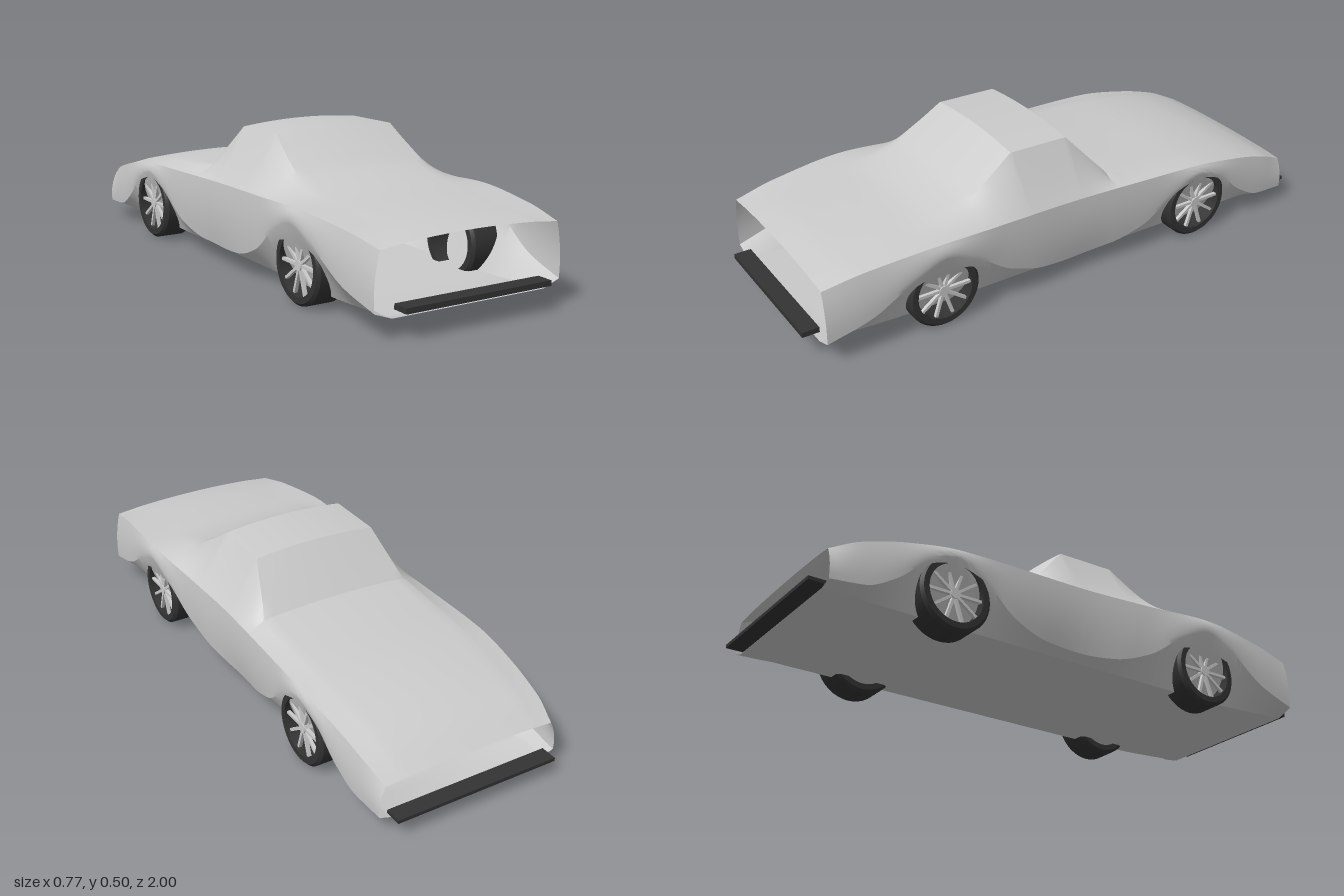
import * as THREE from 'three';
import { toCreasedNormals } from 'three/addons/utils/BufferGeometryUtils.js';

const paint = new THREE.MeshStandardMaterial({ color: 0xcccccc, side: THREE.DoubleSide });
const dark = new THREE.MeshStandardMaterial({ color: 0x333333, side: THREE.DoubleSide });

// Smooth curve through [z, value] keys; a third element marks a sharp corner.
function curve(...keys) {
  const secant = i => (keys[i + 1][1] - keys[i][1]) / (keys[i + 1][0] - keys[i][0]);
  const slope = (i, seg) => {
    if (keys[i][2] || i === 0 || i === keys.length - 1) return secant(seg);
    const a = secant(i - 1), b = secant(i);
    return a * b <= 0 ? 0 : (2 * a * b) / (a + b);
  };
  return z => {
    let i = 0;
    while (i < keys.length - 2 && z > keys[i + 1][0]) i++;
    const h = keys[i + 1][0] - keys[i][0], t = (z - keys[i][0]) / h, t2 = t * t, t3 = t2 * t;
    return keys[i][1] * (2 * t3 - 3 * t2 + 1) + keys[i + 1][1] * (3 * t2 - 2 * t3)
      + h * slope(i, i) * (t3 - 2 * t2 + t) + h * slope(i + 1, i) * (t3 - t2);
  };
}

// Centre line of bonnet, roof and tail
const topY = curve([-0.95, 0.18], [-0.85, 0.232], [-0.7, 0.28], [-0.5, 0.312], [-0.3, 0.328], [-0.16, 0.34, 1],
  [-0.02, 0.497, 1], [0.2, 0.502, 1], [0.3, 0.435], [0.4, 0.378], [0.55, 0.338], [0.7, 0.323], [0.85, 0.308], [0.95, 0.29]);
// Edge of roof and decks
const edgeX = curve([-0.95, 0.25], [-0.5, 0.28], [-0.17, 0.285, 1], [-0.02, 0.232, 1], [0.2, 0.232, 1], [0.38, 0.25], [0.95, 0.25]);
const edgeY = curve([-0.95, 0.175], [-0.85, 0.225], [-0.7, 0.268], [-0.5, 0.3], [-0.3, 0.316], [-0.16, 0.328, 1],
  [-0.02, 0.483, 1], [0.2, 0.487, 1], [0.3, 0.42], [0.4, 0.365], [0.55, 0.33], [0.7, 0.315], [0.85, 0.298], [0.95, 0.281]);
// Shoulder line
const shoulderX = curve([-0.95, 0.315], [-0.85, 0.335], [-0.5, 0.355], [0, 0.345], [0.25, 0.355], [0.53, 0.371], [0.8, 0.352], [0.95, 0.336]);
const shoulderY = curve([-0.95, 0.17], [-0.85, 0.215], [-0.7, 0.255], [-0.5, 0.285], [-0.2, 0.295], [0, 0.3], [0.3, 0.31], [0.53, 0.32], [0.8, 0.3], [0.95, 0.272]);
// Wavy lower crease that rises over the wheels
const creaseX = curve([-0.95, 0.335], [-0.52, 0.362], [-0.05, 0.325], [0.2, 0.345], [0.53, 0.38], [0.8, 0.363], [0.95, 0.352]);
const creaseY = curve([-0.95, 0.06], [-0.83, 0.07], [-0.73, 0.12], [-0.62, 0.21], [-0.52, 0.243], [-0.42, 0.205], [-0.28, 0.105], [-0.15, 0.07],
  [0, 0.065], [0.12, 0.075], [0.27, 0.125], [0.42, 0.225], [0.53, 0.268], [0.64, 0.225], [0.8, 0.13], [0.95, 0.085]);
const floorY = curve([-0.95, 0.045], [0.6, 0.045], [0.95, 0.062]);

// Right half of the cross-section, from top centre to floor centre
function section(z) {
  const ex = edgeX(z), ey = edgeY(z), sx = shoulderX(z), sy = shoulderY(z);
  const cx = creaseX(z), cy = creaseY(z), ty = topY(z), fy = floorY(z), fx = 0.29;
  const points = [];
  for (let i = 0; i <= 8; i++) points.push([ex * i / 8, ty + (ey - ty) * (i / 8) ** 2]);
  const bend = (ax, ay, bx, by, px, py, n) => {
    for (let i = 1; i <= n; i++) {
      const t = i / n, u = 1 - t;
      points.push([u * u * ax + 2 * u * t * bx + t * t * px, u * u * ay + 2 * u * t * by + t * t * py]);
    }
  };
  bend(ex, ey, ex + 0.58 * (sx - ex), sy + 0.35 * (ey - sy), sx, sy, 8);
  bend(sx, sy, Math.max(sx, cx) + 0.008, (sy + cy) / 2, cx, cy, 6);
  bend(cx, cy, (cx + fx) / 2, (cy + fy) / 2, fx, fy, 4);
  points.push([0, fy]);
  return points;
}

// Open-ended body shell lofted along z
function bodyGeometry() {
  const stations = [];
  for (let i = 0; i <= 95; i++) stations.push(-0.95 + i * 0.02);
  stations.push(-0.02, 0.2, -0.16);
  const zs = [...new Set(stations.map(z => +z.toFixed(3)))].sort((a, b) => a - b);
  const positions = [], index = [];
  let ring = 0;
  zs.forEach(z => {
    const half = section(z);
    const loop = [...half, ...half.slice(1, -1).reverse().map(([x, y]) => [-x, y])];
    ring = loop.length;
    loop.forEach(([x, y]) => positions.push(x, y, z));
  });
  for (let i = 0; i < zs.length - 1; i++) {
    for (let j = 0; j < ring; j++) {
      const k = (j + 1) % ring, a = i * ring, b = a + ring;
      index.push(a + j, b + j, a + k, b + j, b + k, a + k);
    }
  }
  const geometry = new THREE.BufferGeometry();
  geometry.setAttribute('position', new THREE.Float32BufferAttribute(positions, 3));
  geometry.setIndex(index);
  return toCreasedNormals(geometry, 0.45);
}

function part(name, geometry, material) {
  const mesh = new THREE.Mesh(geometry, material);
  mesh.name = name;
  return mesh;
}

// Wheel whose axle lies on x, outer face toward +x
function makeWheel(name) {
  const wheel = new THREE.Group();
  wheel.name = name;
  const profile = [[0.1, -0.056], [0.12, -0.056], [0.13, -0.046], [0.13, 0.046], [0.12, 0.056], [0.1, 0.056], [0.1, -0.056]];
  const tyre = toCreasedNormals(new THREE.LatheGeometry(profile.map(p => new THREE.Vector2(...p)), 40), 0.5);
  tyre.rotateZ(-Math.PI / 2);
  wheel.add(part('tyre', tyre, dark));
  const hub = new THREE.CylinderGeometry(0.018, 0.018, 0.02, 16);
  hub.rotateZ(Math.PI / 2);
  const cap = part('hub', hub, paint);
  cap.position.x = 0.04;
  wheel.add(cap);
  for (let i = 0; i < 10; i++) {
    const spoke = new THREE.BoxGeometry(0.012, 0.09, 0.01);
    spoke.translate(0.04, 0.057, 0);
    spoke.rotateX((i + 0.5) * Math.PI / 5);
    wheel.add(part('spoke', spoke, paint));
  }
  return wheel;
}

export function createModel() {
  const car = new THREE.Group();
  car.name = 'car';
  car.add(part('bodyShell', bodyGeometry(), paint));

  // Four wheels, mirrored left and right
  for (const [end, z] of [['front', 0.53], ['rear', -0.52]]) {
    for (const side of [1, -1]) {
      const wheel = makeWheel(end + (side > 0 ? 'Left' : 'Right') + 'Wheel');
      wheel.position.set(side * 0.301, 0.13, z);
      if (side < 0) wheel.rotation.y = Math.PI;
      car.add(wheel);
    }
  }

  // Flat bumper bars
  const front = part('frontBumper', new THREE.BoxGeometry(0.55, 0.018, 0.06), dark);
  front.position.set(0, 0.094, 0.97);
  const rear = part('rearBumper', new THREE.BoxGeometry(0.6, 0.012, 0.06), dark);
  rear.position.set(0, 0.064, -0.97);
  car.add(front, rear);
  return car;
}
